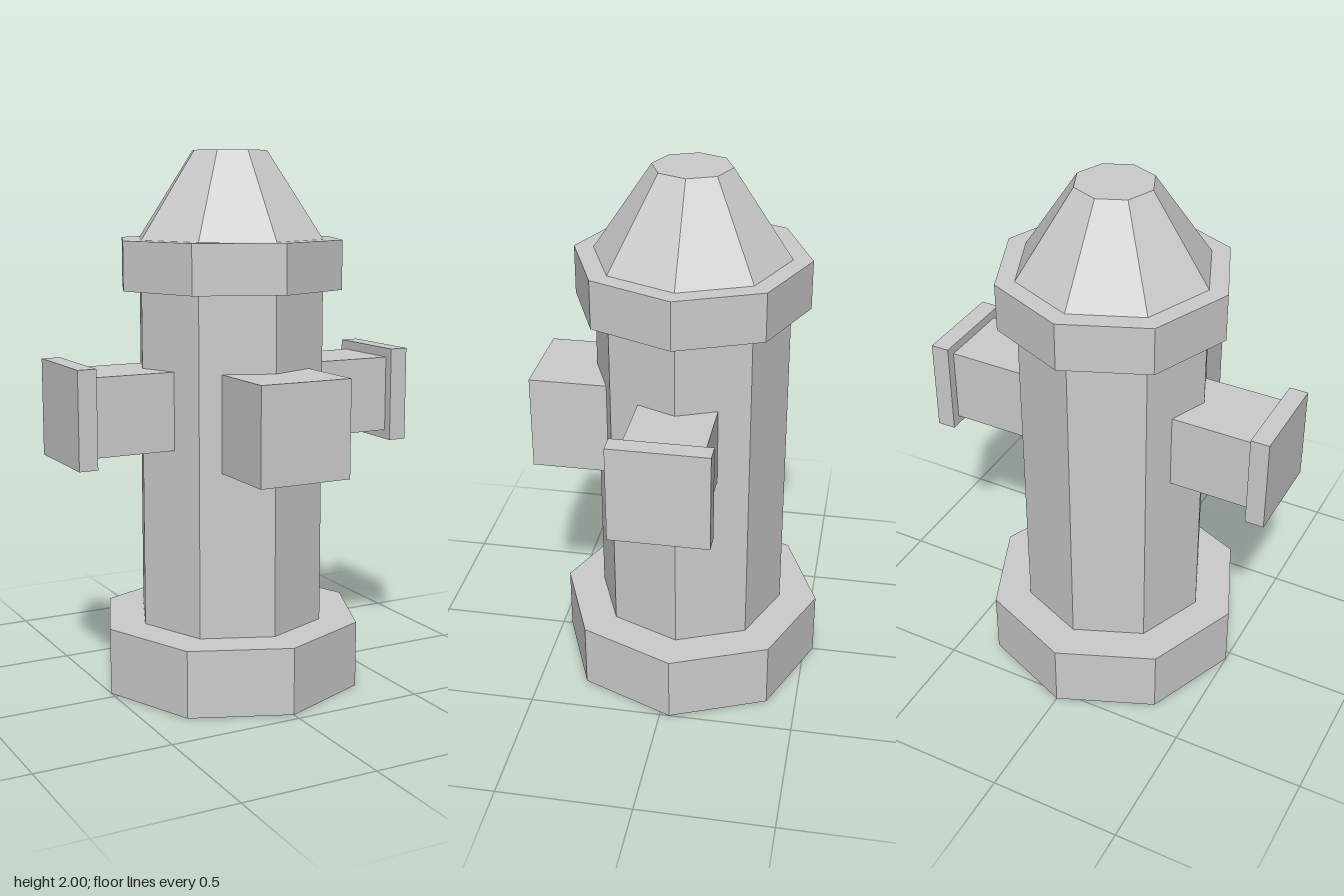
import * as THREE from 'three';

export function createModel() {
  const hydrant = new THREE.Group();
  hydrant.name = 'fireHydrant';
  const grey = new THREE.MeshStandardMaterial({ color: 0xcccccc, flatShading: true, side: THREE.DoubleSide });
  grey.name = 'plain grey';

  const axisZ = -0.036; // the barrel sits slightly behind the centre

  function add(name, geometry, x, y, z) {
    const mesh = new THREE.Mesh(geometry, grey);
    mesh.name = name;
    mesh.position.set(x, y, z);
    hydrant.add(mesh);
  }

  // Eight-sided section between two heights
  function octagon(name, rTop, rBottom, y0, y1) {
    add(name, new THREE.CylinderGeometry(rTop, rBottom, y1 - y0, 8), 0, (y0 + y1) / 2, axisZ);
  }

  // Base flange, hollow underneath
  const flange = [[0.5, 0], [0.5, 0.25], [0, 0.25]].map(([r, y]) => new THREE.Vector2(r, y));
  add('baseFlange', new THREE.LatheGeometry(flange, 8), 0, 0, axisZ);

  // Barrel, collar and bonnet
  octagon('barrel', 0.357, 0.357, 0.25, 1.5);
  octagon('collar', 0.428, 0.428, 1.5, 1.68);
  octagon('bonnet', 0.143, 0.357, 1.68, 2);

  // Side outlets with wider caps
  for (const [side, s] of [['left', 1], ['right', -1]]) {
    add(side + 'Outlet', new THREE.BoxGeometry(0.357, 0.286, 0.286), s * 0.43, 1.075, axisZ);
    add(side + 'OutletCap', new THREE.BoxGeometry(0.07, 0.356, 0.356), s * 0.643, 1.075, axisZ);
  }

  // Front outlet
  add('frontOutlet', new THREE.BoxGeometry(0.356, 0.356, 0.357), 0, 1.04, 0.357);

  return hydrant;
}
